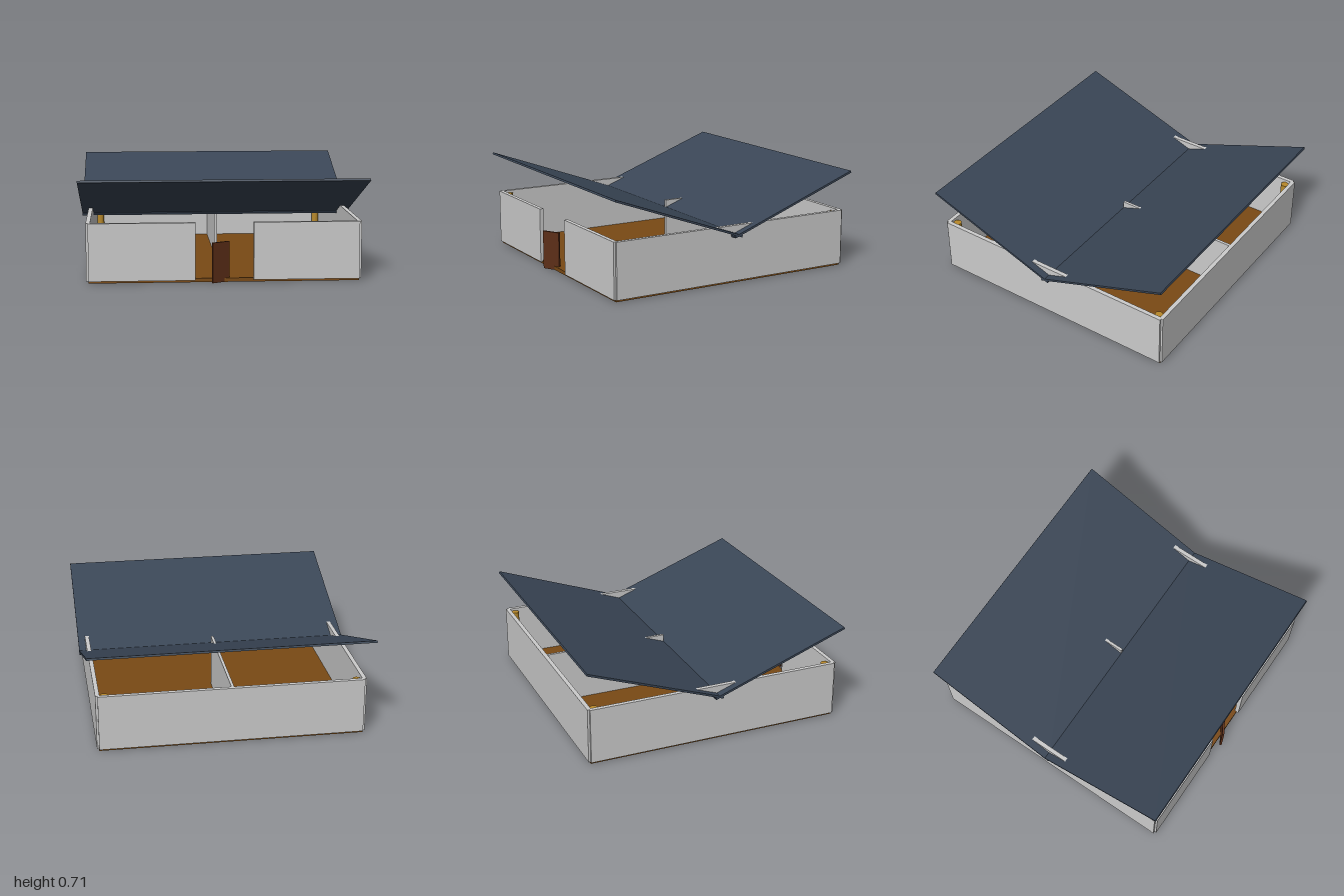
import * as THREE from 'three';

const GREY = 0xcccccc, ROOF = 0x3a4656, FLOOR = 0x7a4a15, DOOR = 0x5c2e17, GOLD = 0xb8892a;
const materials = {};
const material = (color) => (materials[color] ??= new THREE.MeshStandardMaterial({ color, flatShading: true }));

export function createModel() {
  const house = new THREE.Group();
  house.name = 'house';

  const add = (name, geometry, color, x, y, z) => {
    const mesh = new THREE.Mesh(geometry, material(color));
    mesh.name = name;
    mesh.position.set(x, y, z);
    house.add(mesh);
    return mesh;
  };
  const box = (name, w, h, d, color, x, y, z) => add(name, new THREE.BoxGeometry(w, h, d), color, x, y, z);

  const half = 0.933;               // half of the square floor
  const wallH = 0.4, wallY = 0.215; // wall height and centre height
  const thick = 0.03;
  const opening = 0.2;              // half width of the front opening

  // Floor slab
  box('floor', half * 2, 0.027, half * 2, FLOOR, 0, 0.0135, 0);

  // Outer walls, centred on the floor edges so the corners stay notched
  box('backWall', half * 2, wallH, thick, GREY, 0, wallY, -half);
  for (const s of [-1, 1]) {
    box(s > 0 ? 'leftWall' : 'rightWall', thick, wallH, half * 2, GREY, s * half, wallY, 0);
    box(s > 0 ? 'frontWallLeft' : 'frontWallRight', half - opening, wallH, thick, GREY,
      s * (half + opening) / 2, wallY, half);
  }

  // Partition from the centre to the back wall
  box('partitionWall', 0.02, wallH, half, GREY, 0, wallY, -half / 2);

  // Corner posts inside the walls
  const post = new THREE.CylinderGeometry(0.028, 0.028, 0.4, 16);
  for (const x of [-1, 1]) for (const z of [-1, 1]) add('cornerPost', post, GOLD, x * 0.886, 0.2, z * 0.886);

  // Door standing ajar in the opening
  box('door', 0.136, 0.28, 0.015, DOOR, -0.028, 0.14, 0.94).rotation.y = Math.PI / 6;

  // Butterfly roof: two panels that cross at the valley
  const slope = THREE.MathUtils.degToRad(20);
  for (const s of [-1, 1]) {
    const panel = box(s > 0 ? 'frontRoofPanel' : 'backRoofPanel', 2, 0.015, 1.06, ROOF, 0, 0.524, s * 0.469);
    panel.rotation.x = -s * slope;
  }

  house.position.z = -0.004;
  const model = new THREE.Group();
  model.add(house);
  return model;
}
